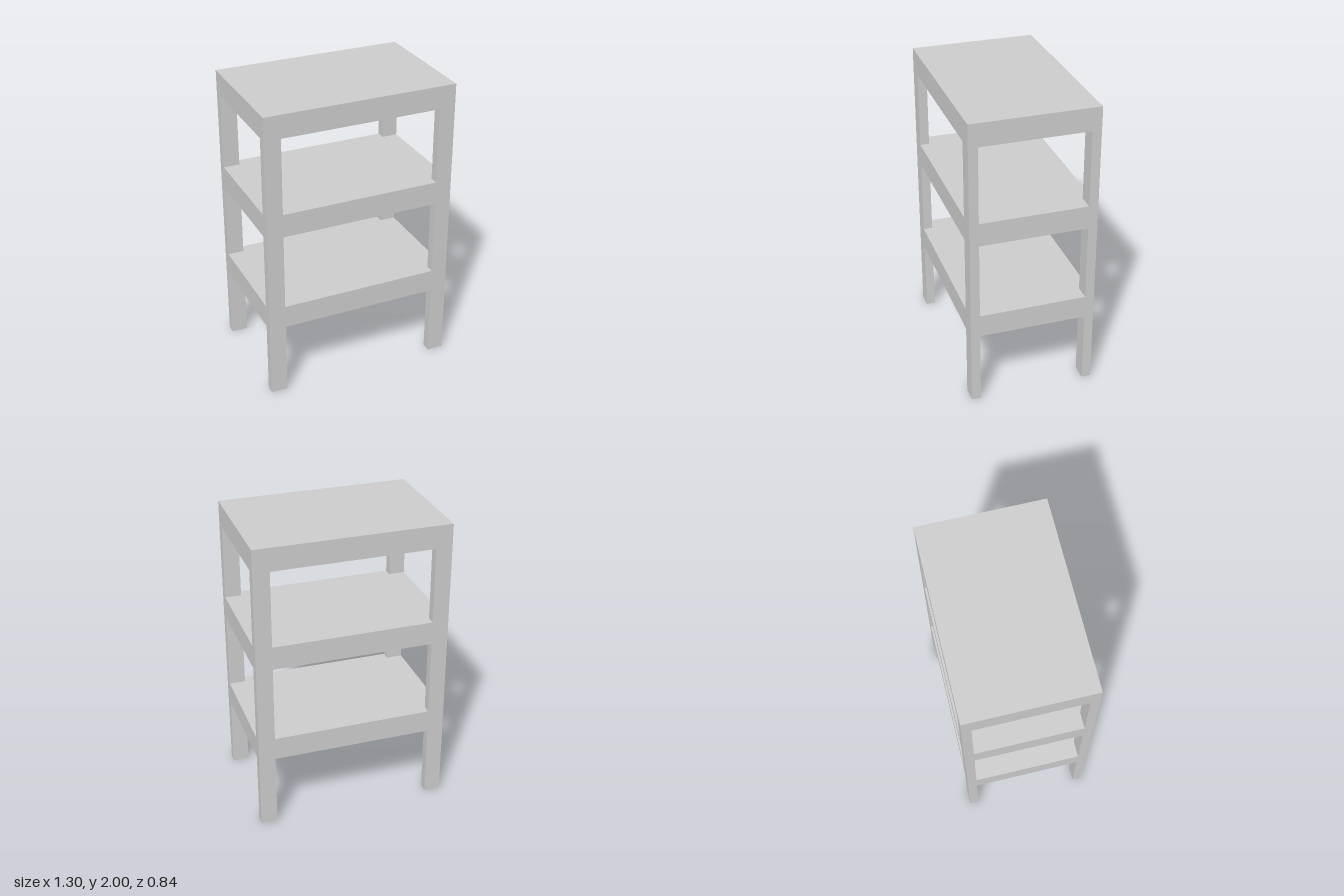
import * as THREE from 'three';

const WIDTH = 1.296, DEPTH = 0.844;
const LEG_W = 0.11, LEG_D = 0.062;
// bottom and top height of each solid shelf slab
const SHELVES = [[0.498, 0.653], [1.171, 1.329], [1.845, 2]];

export function createModel() {
  const model = new THREE.Group();
  model.name = 'shelfUnit';
  const material = new THREE.MeshStandardMaterial({ color: 0xcccccc, flatShading: true });

  const addBox = (parent, name, w, d, y0, y1, x = 0, z = 0) => {
    const mesh = new THREE.Mesh(new THREE.BoxGeometry(w, y1 - y0, d), material);
    mesh.position.set(x, (y0 + y1) / 2, z);
    mesh.name = name;
    parent.add(mesh);
  };

  // Shelves, flush with the outside of the legs
  const shelfNames = ['lowerShelf', 'middleShelf', 'topShelf'];
  SHELVES.forEach(([y0, y1], i) => addBox(model, shelfNames[i], WIDTH, DEPTH, y0, y1));

  // Corner legs, one section below each shelf
  for (const sx of [-1, 1]) {
    for (const sz of [-1, 1]) {
      const leg = new THREE.Group();
      leg.name = (sz > 0 ? 'front' : 'back') + (sx > 0 ? 'Left' : 'Right') + 'Leg';
      SHELVES.forEach(([y1], i) => {
        const y0 = i ? SHELVES[i - 1][1] : 0;
        addBox(leg, 'legSection', LEG_W, LEG_D, y0, y1,
          sx * (WIDTH - LEG_W) / 2, sz * (DEPTH - LEG_D) / 2);
      });
      model.add(leg);
    }
  }
  return model;
}
